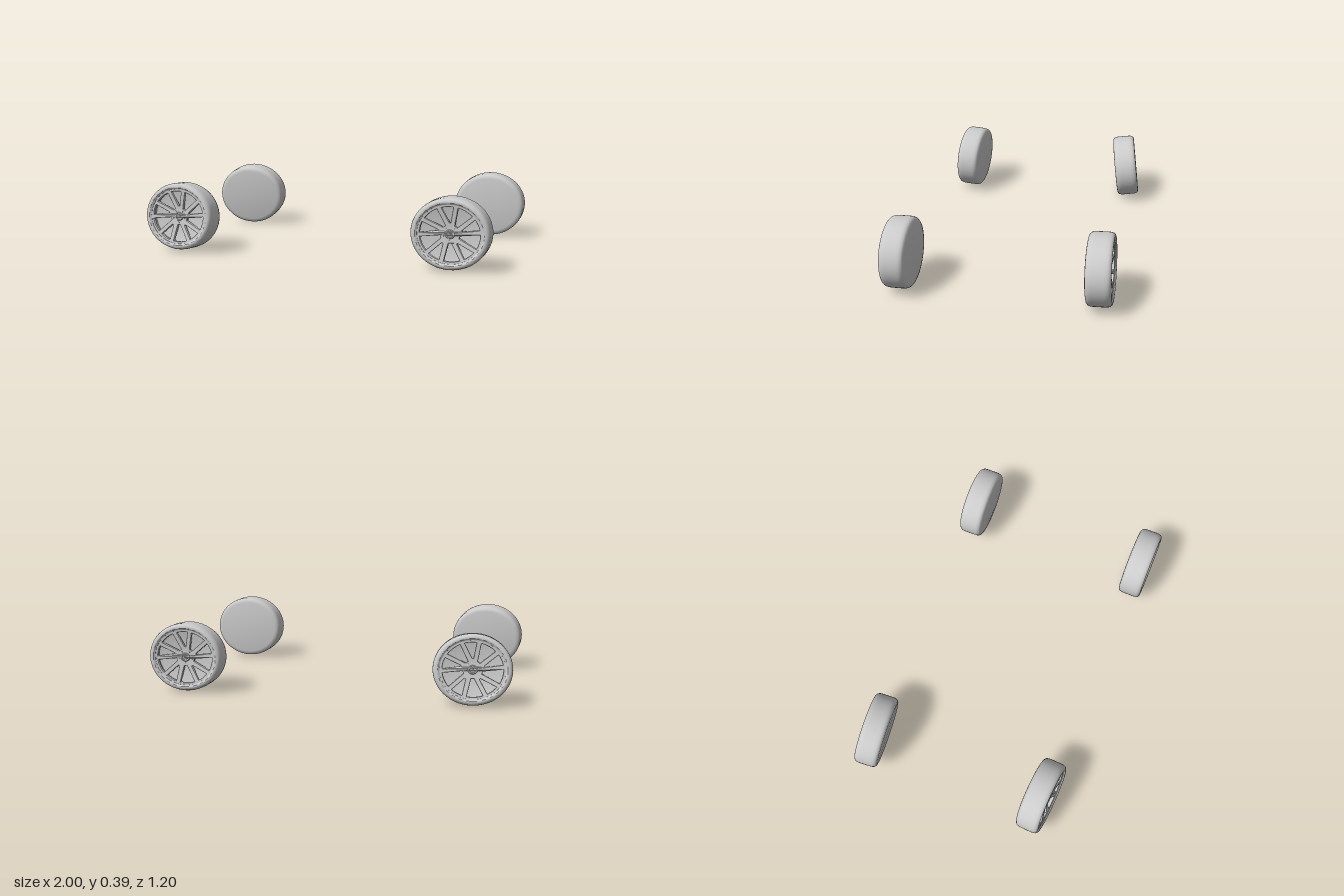
import * as THREE from 'three';
import { toCreasedNormals } from 'three/addons/utils/BufferGeometryUtils.js';

const grey = new THREE.MeshStandardMaterial({ color: 0xcccccc });
const rad = THREE.MathUtils.degToRad;

function add(parent, name, geometry, crease = 0.6) {
  const mesh = new THREE.Mesh(toCreasedNormals(geometry, crease), grey);
  mesh.name = name;
  parent.add(mesh);
  return mesh;
}

// Solid of revolution whose axis is the wheel axle (+z faces outward)
function turned(points, segments) {
  return new THREE.LatheGeometry(points.map(([r, h]) => new THREE.Vector2(r, h)), segments).rotateX(Math.PI / 2);
}

const polar = (r, deg) => new THREE.Vector2(r * Math.cos(rad(deg)), r * Math.sin(rad(deg)));

// Opening between two spokes; its sides spread and sweep from inner to outer radius
function spokeWindow(mid, innerR, innerHalf, outerHalf, sweep) {
  const outerR = 0.153;
  const points = [polar(innerR, mid + innerHalf), polar(innerR, mid - innerHalf)];
  for (let i = 0; i <= 6; i++) points.push(polar(outerR, mid + sweep - outerHalf + (i / 6) * 2 * outerHalf));
  return new THREE.Path(points);
}

// Spoked face: pierced disc pulled into a shallow cone towards the hub
function spokedFace() {
  const disc = new THREE.Shape().absarc(0, 0, 0.164, 0, Math.PI * 2);
  for (let i = 0; i < 5; i++) {
    const pair = 90 + i * 72;
    disc.holes.push(spokeWindow(pair, 0.062, 4, 12, 5));
    disc.holes.push(spokeWindow(pair + 36, 0.05, 10, 16, 5));
  }
  const geometry = new THREE.ExtrudeGeometry(disc, {
    depth: 0.012, curveSegments: 24, bevelThickness: 0.003, bevelSize: 0.002, bevelSegments: 1,
  });
  const p = geometry.attributes.position;
  for (let i = 0; i < p.count; i++) {
    const r = Math.hypot(p.getX(i), p.getY(i));
    p.setZ(i, p.getZ(i) + 0.024 + 0.11 * r);
  }
  geometry.computeVertexNormals();
  return geometry;
}

function createWheel() {
  const wheel = new THREE.Group();

  // Tyre with closed inner side, rounded shoulders and a dished rim
  add(wheel, 'tyreAndRim', turned([
    [0, -0.067], [0.172, -0.067], [0.186, -0.064], [0.195, -0.056], [0.199, -0.044], [0.2, -0.03],
    [0.2, 0.03], [0.199, 0.046], [0.195, 0.057], [0.188, 0.064], [0.18, 0.067], [0.173, 0.066],
    [0.168, 0.061], [0.164, 0.059], [0.16, 0.015], [0.145, 0.01], [0, 0.008],
  ], 56));

  add(wheel, 'spokes', spokedFace(), 0.4);

  // Raised hub with a recessed middle
  add(wheel, 'hub', turned([
    [0.027, 0.01], [0.026, 0.045], [0.023, 0.049], [0.018, 0.049], [0.016, 0.042], [0, 0.042],
  ], 20));

  // Ring of wheel nuts
  for (let i = 0; i < 5; i++) {
    const nut = add(wheel, 'wheelNut', new THREE.CylinderGeometry(0.0045, 0.0045, 0.012, 6).rotateX(Math.PI / 2));
    const at = polar(0.036, 54 + i * 72);
    nut.position.set(at.x, at.y, 0.044);
  }
  return wheel;
}

export function createModel() {
  const model = new THREE.Group();
  model.name = 'wheelSet';

  // Position, yaw and inward lean of each wheel, in degrees
  const wheels = [
    ['frontRightWheel', [-0.777, 0.2, 0.503], -3, 3.5],
    ['backRightWheel', [-0.787, 0.194, -0.508], 186, 7],
    ['frontLeftWheel', [0.777, 0.198, 0.528], 0, 0],
    ['backLeftWheel', [0.79, 0.197, -0.528], 181.2, 1.4],
  ];
  for (const [name, position, yaw, lean] of wheels) {
    const wheel = createWheel();
    wheel.name = name;
    wheel.position.set(...position);
    wheel.rotation.set(rad(-lean), rad(yaw), 0, 'YXZ');
    wheel.scale.set(1.04, 0.94, 1);
    model.add(wheel);
  }
  return model;
}
